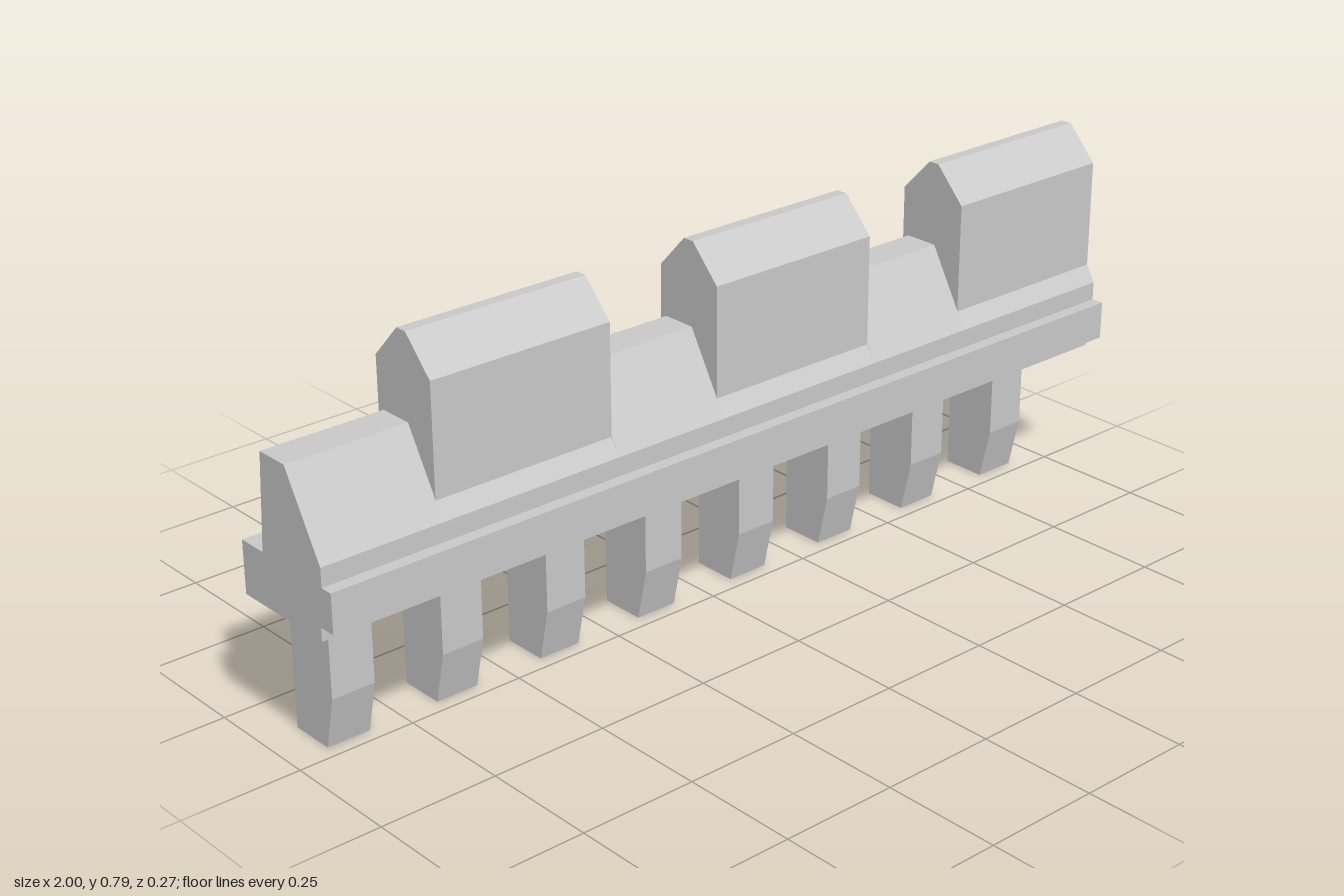
import * as THREE from 'three';

const material = new THREE.MeshStandardMaterial({ color: 0xcccccc, flatShading: true });

// Extrude a [z, y] cross-section along x, from x0 to x1
function bar(name, profile, x0, x1) {
  const shape = new THREE.Shape(profile.map(([z, y]) => new THREE.Vector2(-z, y)));
  const geometry = new THREE.ExtrudeGeometry(shape, { depth: x1 - x0, bevelEnabled: false });
  geometry.rotateY(Math.PI / 2).translate(x0, 0, 0);
  const mesh = new THREE.Mesh(geometry, material);
  mesh.name = name;
  return mesh;
}

export function createModel() {
  const model = new THREE.Group();
  model.name = 'pinStrip';

  // Base rail with a small lip along the front
  model.add(bar('baseRail', [
    [-0.137, 0.305], [0.101, 0.305], [0.101, 0.333], [0.138, 0.333],
    [0.138, 0.414], [-0.137, 0.414],
  ], -1, 1));

  // Low sloped ridge, and tall blocks that rise out of the same foot
  const ridge = [[-0.071, 0.414], [0.111, 0.414], [0.111, 0.453], [0.018, 0.615], [-0.056, 0.615]];
  const block = [
    [-0.071, 0.414], [0.111, 0.414], [0.111, 0.453], [0.09, 0.488], [0.09, 0.718],
    [0.022, 0.79], [-0.003, 0.79], [-0.071, 0.718],
  ];
  const pitch = 0.667, blockWidth = 0.405;
  let x = -1;
  for (let i = 0; i < 3; i++) {
    const end = 1 - (2 - i) * pitch;
    model.add(bar('ridge', ridge, x, end - blockWidth));
    model.add(bar('block', block, end - blockWidth, end));
    x = end;
  }

  // Row of pins with a tapered front tip
  const pin = [[-0.13, 0], [-0.032, 0], [-0.007, 0.111], [-0.007, 0.305], [-0.13, 0.305]];
  for (let i = 0; i < 8; i++) {
    const cx = -0.871 + i * 0.2485;
    model.add(bar('pin', pin, cx - 0.047, cx + 0.047));
  }
  return model;
}
